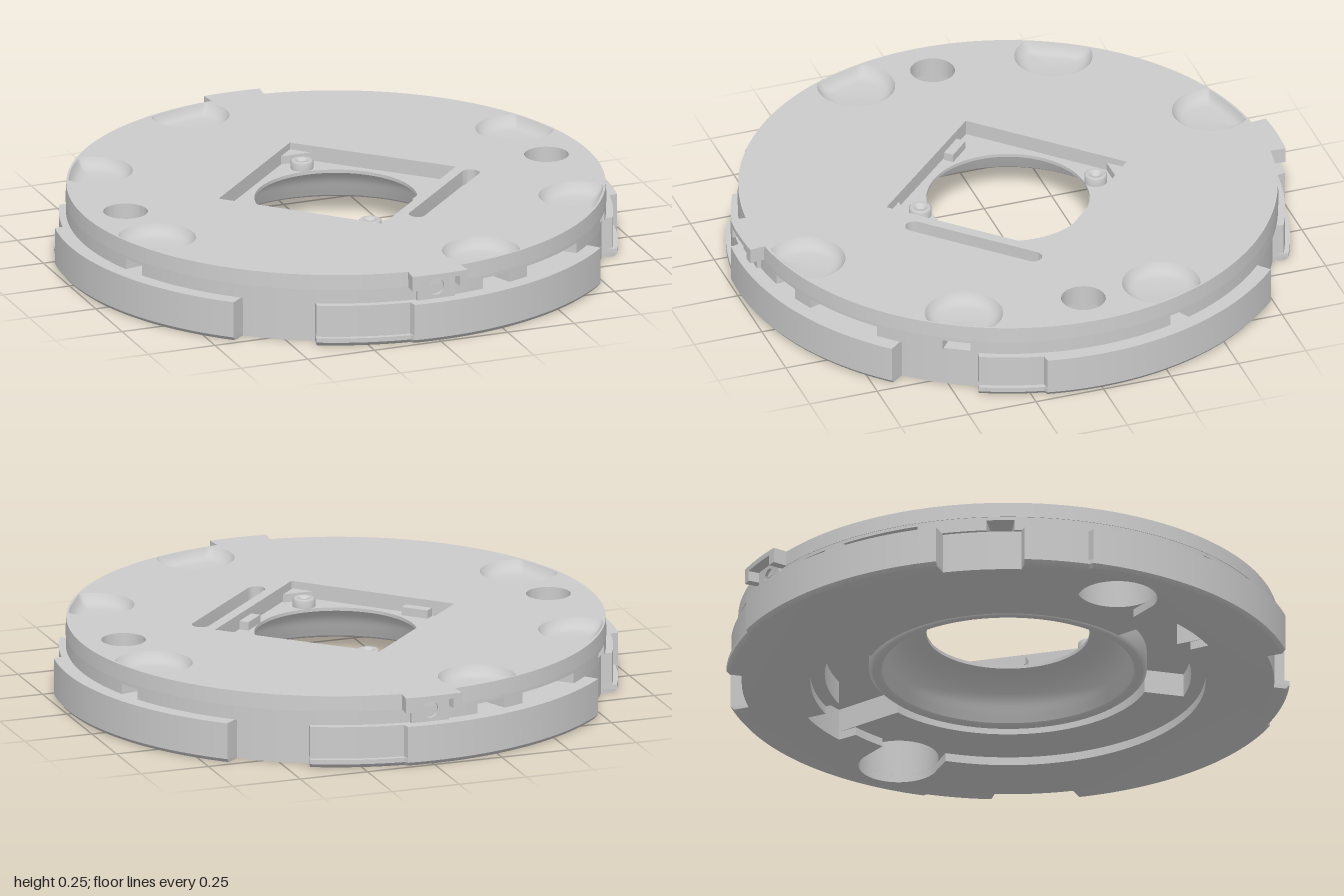
import * as THREE from 'three';
import { toCreasedNormals } from 'three/addons/utils/BufferGeometryUtils.js';

const RAD = Math.PI / 180;
const RIM = 0.997;
const TOP_R = 0.945;

// True when an angle (degrees) lies in one of the ranges, repeated every half turn
const within = (deg, ranges) => ranges.some(([a, b]) => {
  const d = (((deg - a) % 180) + 180) % 180;
  return d <= b - a;
});

// Closed outline from a radius that depends on the angle
function polar(radiusAt, step = 0.5) {
  const pts = [];
  for (let d = 0; d < 360; d += step) {
    const r = radiusAt(d);
    pts.push(new THREE.Vector2(r * Math.cos(d * RAD), r * Math.sin(d * RAD)));
  }
  return pts;
}

function circle(x, z, r, n = 48) {
  return Array.from({ length: n }, (_, i) => new THREE.Vector2(
    x + r * Math.cos(i / n * 2 * Math.PI), -z + r * Math.sin(i / n * 2 * Math.PI)));
}

// Flat layer between two heights, with holes
function layer(outline, holes, y0, y1, edit) {
  const shape = new THREE.Shape(outline);
  holes.forEach((h) => shape.holes.push(new THREE.Path(h)));
  const geo = new THREE.ExtrudeGeometry(shape, { depth: y1 - y0, bevelEnabled: false });
  geo.rotateX(-Math.PI / 2).translate(0, y0, 0);
  if (edit) {
    const p = geo.attributes.position;
    for (let i = 0; i < p.count; i++) {
      const k = edit(Math.hypot(p.getX(i), p.getZ(i)), p.getY(i));
      p.setX(i, p.getX(i) * k);
      p.setZ(i, p.getZ(i) * k);
    }
  }
  return toCreasedNormals(geo, 0.9);
}

// Arc-shaped block
function sector(r0, r1, a0, a1, y0, y1) {
  const s = new THREE.Shape();
  s.absarc(0, 0, r1, a0 * RAD, a1 * RAD, false);
  s.absarc(0, 0, r0, a1 * RAD, a0 * RAD, true);
  const geo = new THREE.ExtrudeGeometry(s, { depth: y1 - y0, bevelEnabled: false, curveSegments: 16 });
  return geo.rotateX(-Math.PI / 2).translate(0, y0, 0);
}

// Finger scoop outline: a circle kept inside the rim of the top plate
const scoopOutline = (x, z) => circle(x, z, 0.137).map((p) => {
  const r = p.length();
  return r > 0.935 ? p.multiplyScalar(0.935 / r) : p;
});

// Shallow dish with a flat middle that fills a scoop outline
function dish(outline, cx, cz) {
  const n = outline.length, pos = [], idx = [];
  const steps = [1, 0.98, 0.95, 0.9, 0.84, 0.75, 0.6, 0];
  steps.forEach((t) => {
    const y = 0.25 - 0.04 * (1 - t ** 6);
    outline.forEach((p) => pos.push(cx + (p.x - cx) * t, y, cz + (-p.y - cz) * t));
  });
  for (let j = 0; j < steps.length - 1; j++) {
    for (let i = 0; i < n; i++) {
      const a = j * n + i, b = j * n + (i + 1) % n;
      idx.push(a, b, a + n, b, b + n, a + n);
    }
  }
  const geo = new THREE.BufferGeometry();
  geo.setAttribute('position', new THREE.Float32BufferAttribute(pos, 3));
  geo.setIndex(idx);
  geo.computeVertexNormals();
  return geo;
}

export function createModel() {
  const group = new THREE.Group();
  const mat = new THREE.MeshStandardMaterial({ color: 0xcccccc });
  const thin = new THREE.MeshStandardMaterial({ color: 0xcccccc, side: THREE.DoubleSide });
  const add = (name, geo, m = mat) => {
    const mesh = new THREE.Mesh(geo, m);
    mesh.name = name;
    group.add(mesh);
    return mesh;
  };

  // Lower rim: full-width arcs, lower lugs and gaps between them
  const gaps = [[48, 64], [137, 154]];
  const lugs = [[64, 84], [154, 168]];
  const rim = (lugR) => polar((d) => within(d, gaps) ? 0.93 : within(d, lugs) ? lugR : RIM);

  // Underside opening with a round counterbore at each side and a deep notch beside it
  const notch = [[22, 38]];
  const opening = (d) => {
    const a = (((d + 90) % 180) - 90) * RAD;
    const q = 0.14 ** 2 - (0.79 * Math.sin(a)) ** 2;
    return q > 0 ? 0.79 * Math.cos(a) + Math.sqrt(q) : within(d, notch) ? 0.76 : 0.69;
  };
  const pocket = (d) => within(d, notch) ? 0.76 : within(d, [[38, 78]]) ? 0.64 : 0.5;
  const sideHoles = (r) => [circle(-0.79, 0, r), circle(0.79, 0, r)];

  add('bottomEdge', layer(rim(0.985), [polar(opening)], 0, 0.014,
    (r, y) => (r > 0.932 && y < 0.001 ? 0.988 : 1)));
  add('bottomRim', layer(rim(0.985), [polar(opening)], 0.014, 0.03));
  add('lowerBody', layer(rim(0.968), [polar(pocket), ...sideHoles(0.14)], 0.03, 0.115));
  add('middleBody', layer(rim(0.968), [circle(0, 0, 0.44, 96), ...sideHoles(0.14)], 0.115, 0.145));

  // Neck under the top plate, cut by small windows
  const windows = [[18, 22], [102, 108], [114, 131], [147, 152]];
  add('neck', layer(polar((d) => (within(d, windows) ? 0.85 : 0.943)),
    [circle(0, 0, 0.425, 96), ...sideHoles(0.14)], 0.145, 0.183));
  add('innerFloor', layer(polar(() => 0.943),
    [circle(0, 0, 0.285, 96), ...sideHoles(0.078)], 0.183, 0.195));

  // Top plate with diamond opening, slot and scoops
  const diamond = [[0.45, 0], [0, 0.44], [-0.44, 0], [0, -0.45]].map((p) => new THREE.Vector2(...p));
  const slot = [];
  for (const [x, y, start] of [[0.475, -0.075, -45], [0.15, -0.4, 135]]) {
    for (let i = 0; i <= 10; i++) {
      const a = (start + i * 18) * RAD;
      slot.push(new THREE.Vector2(x + 0.032 * Math.cos(a), y + 0.032 * Math.sin(a)));
    }
  }
  const scoops = [[-0.22, -0.83], [-0.74, -0.43], [-0.785, 0.285], [0.785, -0.29], [0.74, 0.425], [0.22, 0.825]];
  add('topPlate', layer(polar(() => TOP_R),
    [diamond, slot, ...sideHoles(0.078), ...scoops.map((s) => scoopOutline(...s))], 0.195, 0.25,
    (r, y) => (r > 0.94 && y > 0.249 ? 0.997 : 1)));
  scoops.forEach(([x, z]) => add('fingerScoop', dish(scoopOutline(x, z), x * 0.98, z * 0.98), thin));

  // Hollow dome on the underside, opening downwards from the central hole
  const dome = new THREE.SplineCurve([[0.285, 0.183], [0.33, 0.174], [0.375, 0.15], [0.405, 0.115],
    [0.425, 0.075], [0.44, 0.045]].map((p) => new THREE.Vector2(...p))).getPoints(16);
  add('centralDome', new THREE.LatheGeometry(dome, 96), thin);
  const lip = [[0.44, 0.045], [0.45, 0.037], [0.47, 0.037], [0.485, 0.05], [0.485, 0.116]];
  add('domeLip', new THREE.LatheGeometry(lip.map((p) => new THREE.Vector2(...p)), 96), thin);

  for (const s of [1, -1]) {
    // Latch bracket: thin cap, two ears and a recessed post with a round hole
    const mid = s > 0 ? -90 : 90;
    add('latchCap', sector(0.9, RIM, mid - 6, mid + 6, 0.232, 0.25));
    add('latchEar', sector(0.9, RIM, mid - 6, mid - 4.2, 0.195, 0.232));
    add('latchEar', sector(0.9, RIM, mid + 4.2, mid + 6, 0.195, 0.232));
    const post = new THREE.Shape();
    post.moveTo(-0.07, 0.145).lineTo(0.07, 0.145).lineTo(0.07, 0.232).lineTo(-0.07, 0.232).closePath();
    const hole = new THREE.Path();
    hole.absarc(0, 0.188, 0.03, 0, Math.PI * 2, true);
    post.holes.push(hole);
    const postGeo = new THREE.ExtrudeGeometry(post, { depth: 0.035, bevelEnabled: false });
    add('latchPost', postGeo.translate(0, 0, 0.92)).rotation.y = s > 0 ? 0 : Math.PI;

    // Fixing boss and corner ledge inside the diamond
    const boss = new THREE.LatheGeometry([[0.04, 0.195], [0.04, 0.22], [0.034, 0.226], [0.02, 0.226],
      [0.014, 0.212], [0, 0.21]].map((p) => new THREE.Vector2(...p)), 24);
    add('fixingBoss', boss, thin).position.set(0, 0, s * 0.325);
    const ledge = [[-0.055, 0.385], [0.055, 0.385], [0, 0.44]].map(([x, z]) => new THREE.Vector2(x * s, -z * s));
    add('cornerLedge', layer(ledge, [], 0.195, 0.225));

    // Small clip lying along a diamond edge
    const clip = add('edgeClip', new THREE.BoxGeometry(0.1, 0.03, 0.035));
    clip.position.set(s > 0 ? 0.26 : -0.33, 0.21, s > 0 ? 0.165 : 0.08);
    clip.rotation.y = s * Math.PI / 4;
  }
  return group;
}
